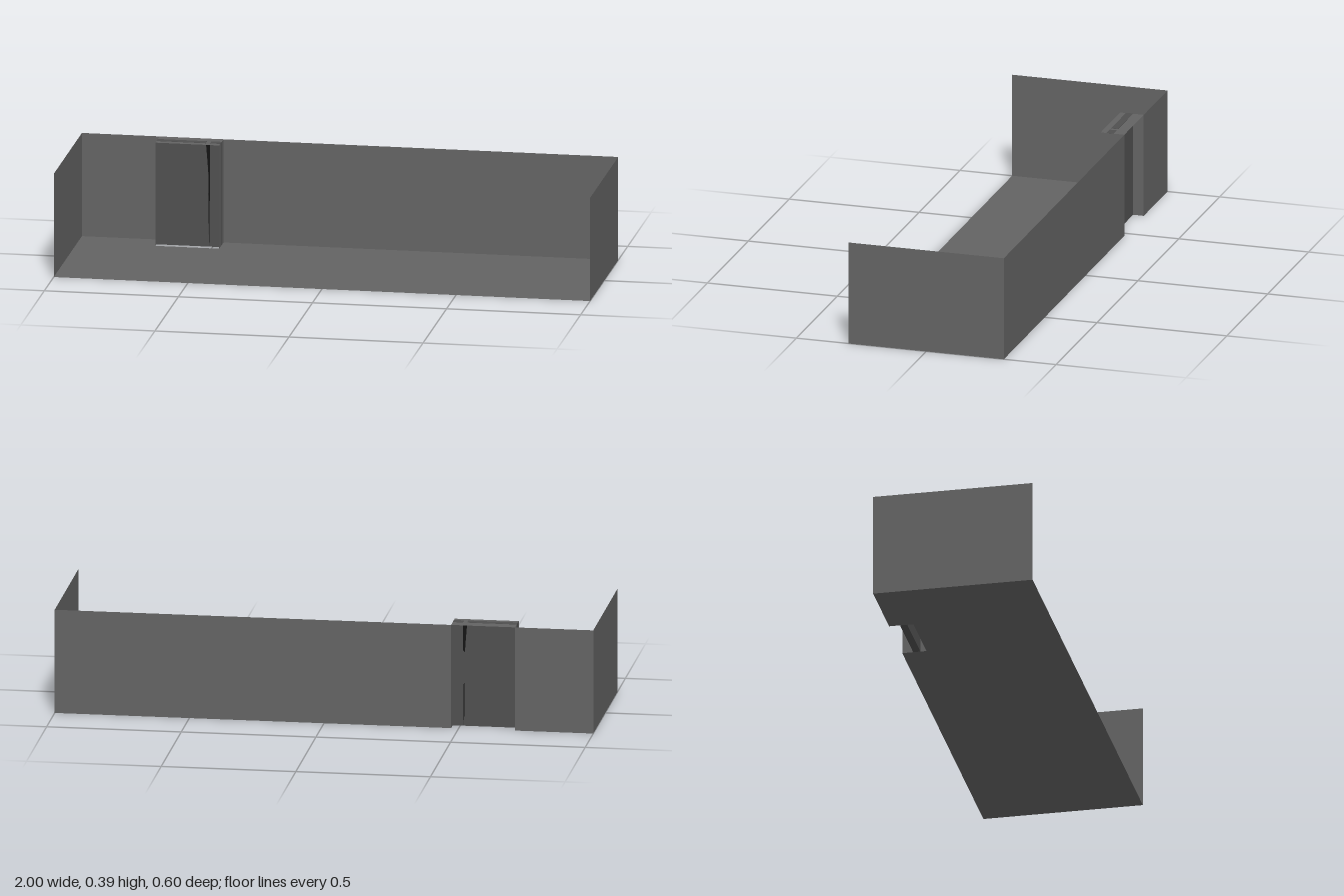
import * as THREE from 'three';

const H = 0.392, X = 1, Z = 0.299;            // room height, half width, half depth
const NX0 = -0.71, NX1 = -0.472, NZ = -0.208; // niche sides and inner edge

const makeMaterial = (color) => new THREE.MeshStandardMaterial({
  color, side: THREE.DoubleSide, flatShading: true,
});
const wallPaint = makeMaterial(0x636363);
const doorPaint = makeMaterial(0x4f4f4f);
const crackPaint = makeMaterial(0x141414);

function shapeOf(points) {
  return new THREE.Shape(points.map(([a, b]) => new THREE.Vector2(a, b)));
}

function add(group, name, geometry, material = wallPaint) {
  const mesh = new THREE.Mesh(geometry, material);
  mesh.name = name;
  group.add(mesh);
  return mesh;
}

// Flat outline in x and y, thickened from z0 to z1
function addSlab(group, name, points, z0, z1, material) {
  const geometry = new THREE.ExtrudeGeometry(shapeOf(points), { depth: z1 - z0, bevelEnabled: false });
  add(group, name, geometry, material).position.z = z0;
}

// Thin upright panel facing +z
function wallZ(group, name, x0, x1, z) {
  add(group, name, new THREE.PlaneGeometry(x1 - x0, H)).position.set((x0 + x1) / 2, H / 2, z);
}

// Thin upright panel facing along x
function wallX(group, name, x, z0, z1) {
  const mesh = add(group, name, new THREE.PlaneGeometry(z1 - z0, H));
  mesh.rotation.y = x < 0 ? -Math.PI / 2 : Math.PI / 2;
  mesh.position.set(x, H / 2, (z0 + z1) / 2);
}

export function createModel() {
  const model = new THREE.Group();
  model.name = 'openRoom';

  // Floor, notched beneath the door niche (shape y becomes -z)
  const floor = new THREE.ShapeGeometry(shapeOf([
    [-X, -Z], [X, -Z], [X, Z], [NX1, Z], [NX1, -NZ], [NX0, -NZ], [NX0, Z], [-X, Z],
  ]));
  add(model, 'floor', floor.rotateX(-Math.PI / 2));

  // Walls: open front and top, back interrupted by the niche
  wallX(model, 'leftWall', X, -Z, Z);
  wallX(model, 'rightWall', -X, -Z, Z);
  wallZ(model, 'backWallLong', NX1, X, -Z);
  wallZ(model, 'backWallShort', -X, NX0, -Z);

  // Door frame lining the niche
  const doorway = new THREE.Group();
  doorway.name = 'doorway';
  model.add(doorway);
  wallX(doorway, 'leftJamb', NX1, -Z, NZ);
  wallX(doorway, 'rightJamb', NX0, -Z, NZ);
  const lintel = add(doorway, 'lintel', new THREE.PlaneGeometry(NX1 - NX0, NZ + Z));
  lintel.rotation.x = -Math.PI / 2;
  lintel.position.set((NX0 + NX1) / 2, H, (NZ - Z) / 2);

  // Door slab split by a jagged crack: [height, right edge, left edge]
  const top = H + 0.001, back = -0.258, front = -0.231;
  const crack = [
    [0, -0.513, -0.513], [0.04, -0.515, -0.512], [0.12, -0.516, -0.512],
    [0.2, -0.517, -0.511], [0.26, -0.516, -0.511], [0.32, -0.52, -0.51], [top, -0.526, -0.51],
  ];
  const rightEdge = crack.map(([y, x]) => [x, y]);
  const leftEdge = crack.map(([y, , x]) => [x, y]);
  addSlab(doorway, 'doorPanel', [[NX0, top], [NX0, 0], ...rightEdge], back, front, doorPaint);
  addSlab(doorway, 'doorSplinter', [[NX1, top], [NX1, 0], ...leftEdge], back, front, doorPaint);

  // Dark core seen through the crack, just below the lintel
  addSlab(doorway, 'crackCore', [
    [-0.514, 0.01], [-0.508, 0.01], [-0.508, H - 0.001], [-0.528, H - 0.001],
  ], back + 0.003, front - 0.003, crackPaint);

  // Chipped patch on the outer side of the crack
  addSlab(doorway, 'chip', [
    [-0.505, 0.29], [-0.53, 0.27], [-0.54, 0.28], [-0.54, 0.17], [-0.53, 0.18], [-0.505, 0.15],
  ], back - 0.002, back, doorPaint);
  return model;
}
